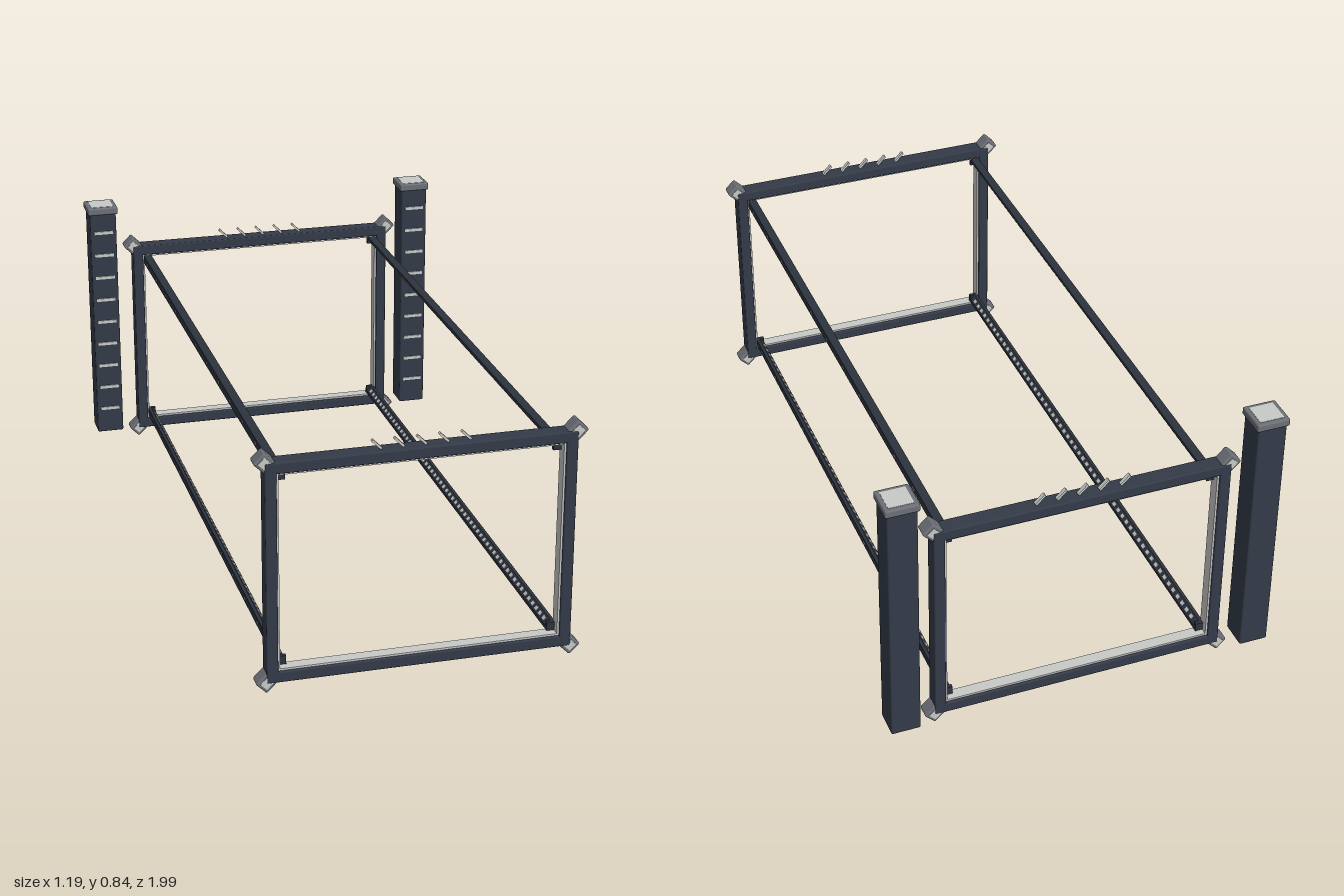
import * as THREE from 'three';
import { RoundedBoxGeometry } from 'three/addons/geometries/RoundedBoxGeometry.js';

const material = (name, color) => {
  const m = new THREE.MeshStandardMaterial({ color });
  m.name = name;
  return m;
};

export function createModel() {
  const slate = material('dark slate', 0x343b48);
  const railDark = material('rail slate', 0x2d333e);
  const grey = material('mid grey', 0x6c7077);
  const light = material('pale grey', 0xc8cac8);

  const model = new THREE.Group();
  model.name = 'lightFrame';

  const add = (parent, name, geometry, mat, x, y, z, rotZ = 0) => {
    const mesh = new THREE.Mesh(geometry, mat);
    mesh.name = name;
    mesh.position.set(x, y, z);
    mesh.rotation.z = rotZ;
    parent.add(mesh);
    return mesh;
  };
  const box = (w, h, d) => new THREE.BoxGeometry(w, h, d);
  const rounded = (w, h, d, r) => new RoundedBoxGeometry(w, h, d, 2, r);
  const sides = [-1, 1];

  // Rectangular end frames
  const halfW = 0.444, midY = 0.361, halfH = 0.331, beam = 0.033, depth = 0.052;
  const addFrame = (name, z) => {
    const frame = new THREE.Group();
    frame.name = name;
    frame.position.set(0, midY, z);
    model.add(frame);
    for (const s of sides) {
      add(frame, 'post', rounded(beam, halfH * 2, depth, 0.004), slate, s * (halfW - beam / 2), 0, 0);
      add(frame, 'crossBeam', rounded(halfW * 2 - 0.03, beam, depth, 0.004), slate, 0, s * (halfH - beam / 2), 0);
      // Pale lining on the inner faces
      add(frame, 'postLining', box(0.007, (halfH - beam) * 2, 0.036), light, s * (halfW - beam - 0.0025), 0, 0);
      add(frame, 'beamLining', box((halfW - beam) * 2, 0.007, 0.036), light, 0, s * (halfH - beam - 0.0025), 0);
      // Diamond corner blocks
      for (const t of sides) {
        add(frame, 'cornerBlock', rounded(0.044, 0.044, 0.046, 0.005), grey, s * halfW, t * halfH, 0, Math.PI / 4);
        add(frame, 'cornerPlate', box(0.026, 0.026, 0.049), light, s * halfW, t * halfH, 0, Math.PI / 4);
      }
    }
    // Slanted fins on the top beam
    for (let i = -2; i <= 2; i++)
      add(frame, 'slantedFin', box(0.038, 0.007, 0.012), light, i * 0.0635 - 0.001, halfH + 0.014, 0, -Math.PI / 4);
  };
  addFrame('frontFrame', 0.97);
  addFrame('backFrame', -0.932);

  // Long rails, chamfered toward the middle, with a strip of small lamps
  const h = 0.013, z0 = -0.925, z1 = 0.96, len = z1 - z0;
  const profile = new THREE.Shape([[-h, -h], [h, -h], [h, -0.003], [-0.003, h], [-h, h]]
    .map(([x, y]) => new THREE.Vector2(x, y)));
  const railGeometry = new THREE.ExtrudeGeometry(profile, { depth: len, bevelEnabled: false });
  const lampGeometry = box(0.011, 0.003, 0.016);
  const clipGeometry = box(0.005, 0.007, 0.014);
  for (const sx of sides) for (const sy of sides) {
    const rail = new THREE.Group();
    rail.name = 'longRail';
    rail.position.set(sx * 0.395, sy > 0 ? 0.642 : 0.083, 0);
    model.add(rail);
    // Quarter turns aim the chamfer at the centre line
    const turn = sx < 0 ? (sy < 0 ? 0 : -Math.PI / 2) : (sy < 0 ? Math.PI / 2 : Math.PI);
    const body = new THREE.Group();
    body.name = 'railBody';
    body.rotation.z = turn;
    rail.add(body);
    add(body, 'railProfile', railGeometry, railDark, 0, 0, z0);
    for (let i = 0; i < 58; i++)
      add(body, 'lamp', lampGeometry, light, 0.0053, 0.0053, z0 + 0.04 + i * 0.0317, -Math.PI / 4);
    for (const z of [z0, z1]) add(rail, 'railEnd', box(h * 2, h * 2, 0.012), railDark, 0, 0, z);
    for (let i = 0; i < 12; i++)
      add(rail, 'railClip', clipGeometry, grey, sx * (h + 0.001), 0, 0.89 - i * 0.158);
  }

  // Free-standing back towers
  for (const s of sides) {
    const tower = new THREE.Group();
    tower.name = s > 0 ? 'leftTower' : 'rightTower';
    tower.position.set(s * 0.544, 0, -0.948);
    model.add(tower);
    add(tower, 'towerBody', rounded(0.088, 0.785, 0.088, 0.005), slate, 0, 0.4225, 0);
    add(tower, 'towerCap', rounded(0.1, 0.024, 0.1, 0.005), grey, 0, 0.826, 0);
    add(tower, 'capPlate', box(0.074, 0.004, 0.074), light, 0, 0.837, 0);
    for (let i = 0; i < 9; i++)
      add(tower, 'lightBar', box(0.064, 0.01, 0.006), light, 0, 0.117 + i * 0.0792, 0.0445);
  }

  return model;
}
